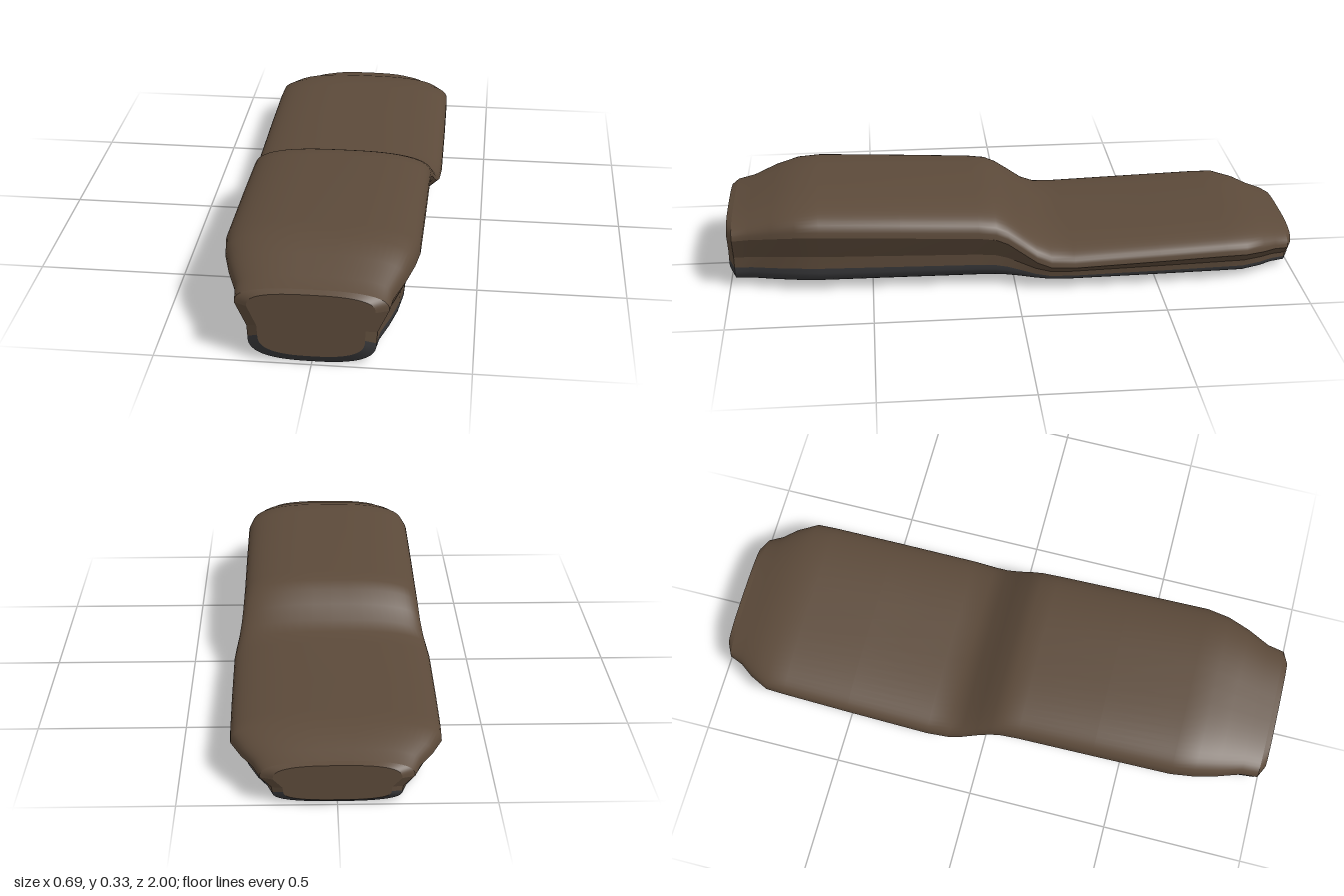
import * as THREE from 'three';

const SHELL = new THREE.MeshStandardMaterial({ color: 0x5c4a3a, side: THREE.DoubleSide });
const BASE = new THREE.MeshStandardMaterial({ color: 0x38383a, side: THREE.DoubleSide });

// Stations from back to front: z, top height, seam height, half width at the seam
const STATIONS = [
  [-0.98, 0.143, 0.088, 0.24], [-0.93, 0.158, 0.097, 0.262], [-0.88, 0.176, 0.106, 0.3],
  [-0.81, 0.189, 0.115, 0.336], [-0.74, 0.189, 0.114, 0.339], [-0.5, 0.181, 0.106, 0.343],
  [-0.2, 0.171, 0.096, 0.346], [-0.12, 0.175, 0.098, 0.341], [-0.07, 0.198, 0.116, 0.333],
  [-0.02, 0.238, 0.15, 0.325], [0.03, 0.274, 0.185, 0.32], [0.07, 0.293, 0.202, 0.318],
  [0.13, 0.301, 0.21, 0.317], [0.4, 0.316, 0.223, 0.317], [0.68, 0.33, 0.235, 0.316],
  [0.76, 0.328, 0.233, 0.304], [0.84, 0.307, 0.222, 0.28], [0.92, 0.275, 0.207, 0.248],
  [0.98, 0.26, 0.2, 0.24],
];

// Superellipse arc between two angles, as [x, y] points
function arc(w, h, y, from, to, n, count = 28) {
  return Array.from({ length: count + 1 }, (_, i) => {
    const a = from + (to - from) * i / count, c = Math.cos(a), s = Math.sin(a);
    return [Math.sign(c) * w * Math.abs(c) ** (2 / n), y + Math.sign(s) * h * Math.abs(s) ** (2 / n)];
  });
}

// Each part's slice of a cross-section, counter-clockwise seen from the front
const PARTS = {
  topShell: { material: SHELL, slice: (t, s, w) => arc(w, t - s, s, 0, Math.PI, 2.8) },
  rightUndercut: { material: SHELL, slice: (t, s, w) => [[-w, s], [-0.85 * w, 0.6 * s]] },
  rightSkirt: { material: SHELL, slice: (t, s, w) => [[-0.85 * w, 0.6 * s], [-0.84 * w, 0.4 * s]] },
  base: { material: BASE, slice: (t, s, w) => arc(0.84 * w, 0.4 * s, 0.4 * s, Math.PI, 2 * Math.PI, 2.7) },
  leftSkirt: { material: SHELL, slice: (t, s, w) => [[0.84 * w, 0.4 * s], [0.85 * w, 0.6 * s]] },
  leftUndercut: { material: SHELL, slice: (t, s, w) => [[0.85 * w, 0.6 * s], [w, s]] },
};

// Skin over a list of rings ordered by rising z
function loft(rings) {
  const n = rings[0].length, index = [];
  for (let i = 0; i < rings.length - 1; i++) {
    for (let j = 0; j < n - 1; j++) {
      const a = i * n + j, b = a + 1, c = a + n, d = c + 1;
      index.push(a, b, c, b, d, c);
    }
  }
  const geometry = new THREE.BufferGeometry();
  geometry.setAttribute('position', new THREE.Float32BufferAttribute(rings.flat(2), 3));
  geometry.setIndex(index);
  geometry.computeVertexNormals();
  return geometry;
}

export function createModel() {
  const group = new THREE.Group();
  group.name = 'paddedBody';
  const add = (name, rings, material) => {
    const mesh = new THREE.Mesh(loft(rings), material);
    mesh.name = name;
    group.add(mesh);
  };

  for (const [name, { material, slice }] of Object.entries(PARTS)) {
    // Long body skin
    add(name, STATIONS.map(([z, t, s, w]) => slice(t, s, w).map(([x, y]) => [x, y, z])), material);

    // Bevelled rim and flat cap at both ends
    for (const end of [-1, 1]) {
      const [z, t, s, w] = end < 0 ? STATIONS[0] : STATIONS[STATIONS.length - 1];
      const points = slice(t, s, w);
      const outer = points.map(([x, y]) => [x, y, z]);
      const inner = points.map(([x, y]) => [x * 0.83, y * 0.85 + t * 0.12, end]);
      const centre = points.map(() => [0, t * 0.55, end]);
      const label = end < 0 ? 'Back' : 'Front';
      add(name + label + 'Rim', end < 0 ? [inner, outer] : [outer, inner], material);
      add(name + label + 'Cap', end < 0 ? [centre, inner] : [inner, centre], SHELL);
    }
  }
  return group;
}
